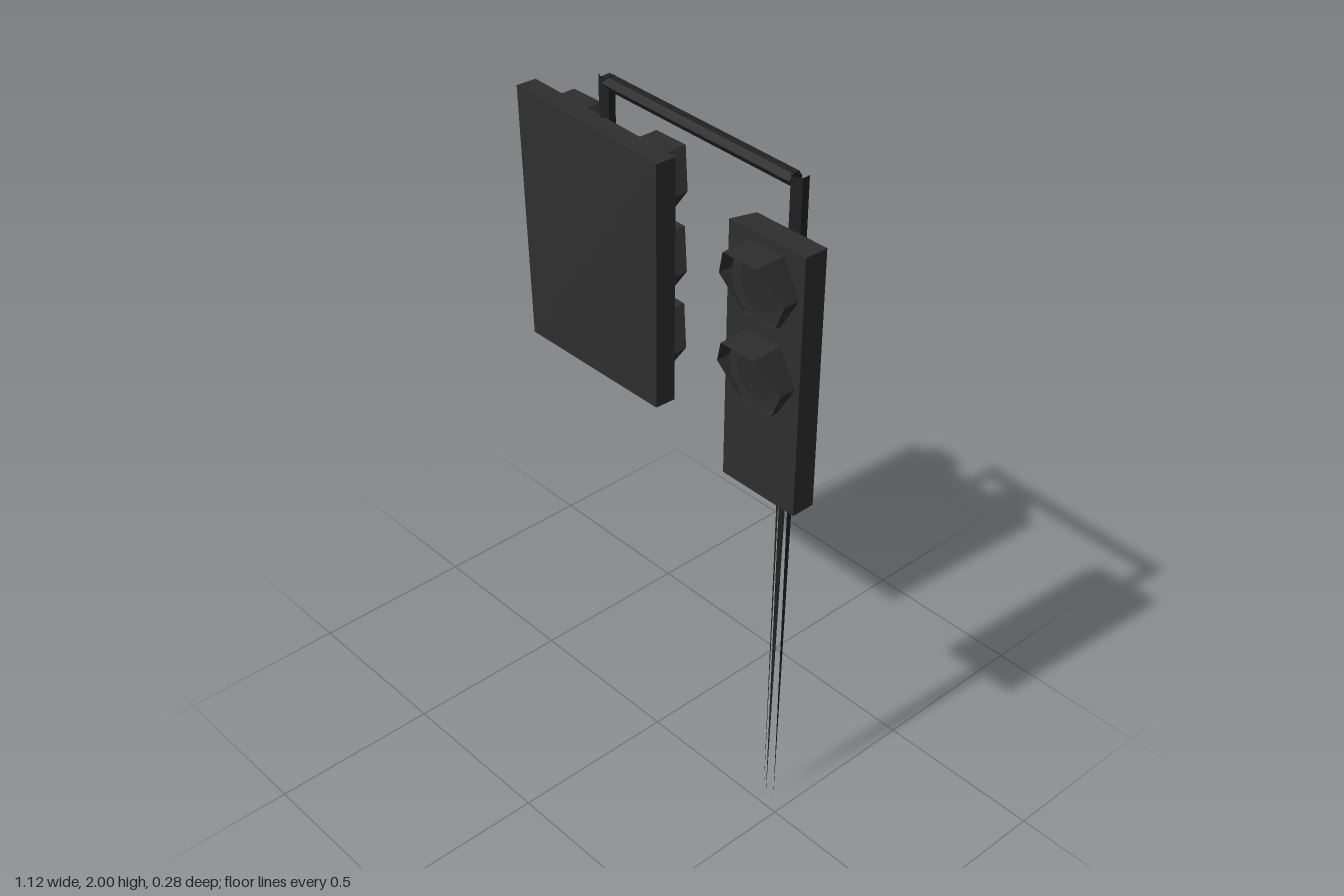
import * as THREE from 'three';

const mat = (name, color, side = THREE.FrontSide) =>
  new THREE.MeshStandardMaterial({ name, color, side, flatShading: true });

export function createModel() {
  const housing = mat('charcoal housing', 0x2e2e2e, THREE.DoubleSide);
  const steel = mat('dark steel', 0x222222);
  const lens = {
    red: mat('red lens', 0x701e20),
    blue: mat('blue lens', 0x26426e),
    green: mat('green lens', 0x1e6a3a),
    off: mat('unlit lens', 0x2b2b2b),
  };
  const model = new THREE.Group();
  model.name = 'trafficLight';

  const add = (parent, name, geo, material, x = 0, y = 0, z = 0) => {
    const mesh = new THREE.Mesh(geo, material);
    mesh.name = name;
    mesh.position.set(x, y, z);
    parent.add(mesh);
    return mesh;
  };

  // box whose corners can be shifted by a rule
  const shapedBox = (w, h, d, rule) => {
    const geo = new THREE.BoxGeometry(w, h, d);
    const p = geo.attributes.position, v = new THREE.Vector3();
    for (let i = 0; i < p.count; i++) {
      v.fromBufferAttribute(p, i);
      rule(v);
      p.setXYZ(i, v.x, v.y, v.z);
    }
    geo.computeVertexNormals();
    return geo;
  };

  // six-sided hood, deep at the top and shallow at the bottom
  const visorGeo = new THREE.CylinderGeometry(0.11, 0.11, 1, 6, 1, true, Math.PI / 6);
  visorGeo.rotateX(Math.PI / 2);
  const vp = visorGeo.attributes.position;
  for (let i = 0; i < vp.count; i++) {
    const y = vp.getY(i);
    const depth = y > 0.05 ? 0.091 : y < -0.05 ? 0.02 : 0.048;
    vp.setZ(i, vp.getZ(i) > 0 ? depth : 0);
  }
  visorGeo.computeVertexNormals();

  const lamp = (name, x, y, z, backward, lensMaterial) => {
    const g = new THREE.Group();
    g.name = name;
    g.position.set(x, y, z);
    if (backward) g.rotation.y = Math.PI;
    add(g, 'visor', visorGeo, housing);
    add(g, 'bezel', new THREE.RingGeometry(0.07, 0.098, 12), housing, 0, 0, 0.02);
    add(g, 'lens', new THREE.CircleGeometry(0.073, 16), lensMaterial, 0, 0, 0.018);
    model.add(g);
  };

  // wide signal box, turned slightly, with one lower corner pulled in
  const wide = add(model, 'wideSignalBox', shapedBox(0.58, 0.72, 0.062, v => {
    if (v.x < 0 && v.y < 0 && v.z > 0) { v.x += 0.07; v.z += 0.025; }
  }), housing, -0.27, 1.525, -0.025);
  wide.rotation.y = -0.05;

  // narrow signal box, one back edge drawn in
  add(model, 'narrowSignalBox', shapedBox(0.253, 0.74, 0.07, v => {
    if (v.x < 0 && v.z < 0) v.x += 0.022;
  }), housing, 0.428, 1.49, 0.01);

  // coloured lamps on the back of the wide box
  for (const x of [-0.432, -0.105]) {
    ['red', 'blue', 'green'].forEach((c, i) =>
      lamp(c + 'Lamp', x, 1.763 - i * 0.233, x < -0.3 ? -0.052 : -0.05, true, lens[c]));
  }
  // unlit lamps on the front of the narrow box
  for (const y of [1.74, 1.492]) lamp('frontLamp', 0.43, y, 0.045, false, lens.off);

  // hexagonal pipes
  const R = 0.0225;
  const pipe = (name, x, z, top, bottom) =>
    add(model, name, new THREE.CylinderGeometry(R, R, top - bottom, 6, 1, true),
      steel, x, (top + bottom) / 2, z);
  const poleX = 0.44, poleZ = -0.045, splitY = 1.45;
  pipe('mainPole', poleX, poleZ, 2, splitY);
  pipe('hangingPole', -0.268, -0.07, 2, 1.16);

  const a = new THREE.Vector3(-0.268, 1.98, -0.07);
  const b = new THREE.Vector3(0.425, 1.98, -0.047);
  const arm = add(model, 'arm',
    new THREE.CylinderGeometry(R * 0.92, R * 0.92, a.distanceTo(b), 6), steel);
  arm.position.copy(a).add(b).multiplyScalar(0.5);
  arm.quaternion.setFromUnitVectors(new THREE.Vector3(0, 1, 0), b.clone().sub(a).normalize());

  // lower pole: each side tapers to a needle point at the ground
  const needles = [];
  for (let i = 0; i < 6; i++) {
    const t = i * Math.PI / 3, u = t + Math.PI / 3;
    const tx = R * Math.sin(t), tz = R * Math.cos(t);
    needles.push(tx, splitY, tz, tx, 0, tz, R * Math.sin(u), splitY, R * Math.cos(u));
  }
  const needleGeo = new THREE.BufferGeometry();
  needleGeo.setAttribute('position', new THREE.Float32BufferAttribute(needles, 3));
  needleGeo.computeVertexNormals();
  add(model, 'lowerPole', needleGeo, steel, poleX, 0, poleZ);

  // clamps holding the boxes to the poles
  add(model, 'mainClamp', new THREE.BoxGeometry(0.05, 0.12, 0.045), housing, poleX, 1.505, -0.044);
  add(model, 'hangingClamp', new THREE.BoxGeometry(0.05, 0.1, 0.045), housing, -0.275, 1.525, -0.07);

  return model;
}
